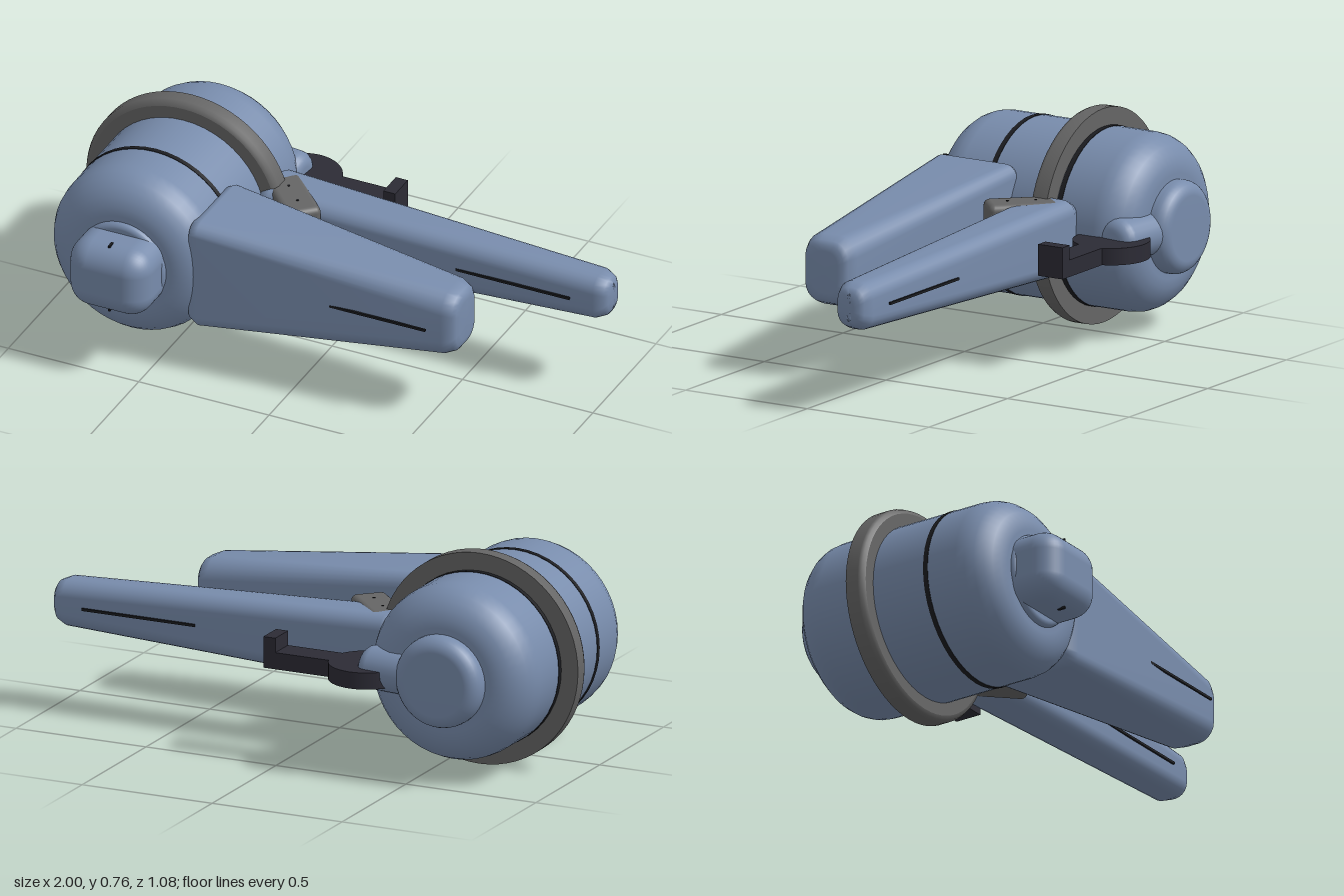
import * as THREE from 'three';
import { RoundedBoxGeometry } from 'three/addons/geometries/RoundedBoxGeometry.js';

const CX = -0.62, CY = 0.38;

// Lathe with its axis along z; profile is [radius, z] with z rising
function latheZ(profile, segments = 48) {
  const g = new THREE.LatheGeometry(profile.map(([r, z]) => new THREE.Vector2(r, z)), segments);
  return g.rotateX(Math.PI / 2);
}

// Drum profile with rounded rims at either end
function drum(r, z0, z1, r0, r1, steps = 6) {
  const pts = [[0.0001, z0]];
  for (let i = 0; i <= steps; i++) {
    const a = (i / steps) * Math.PI / 2;
    pts.push([r - r0 + r0 * Math.sin(a), z0 + r0 - r0 * Math.cos(a)]);
  }
  for (let i = 0; i <= steps; i++) {
    const a = (i / steps) * Math.PI / 2;
    pts.push([r - r1 + r1 * Math.cos(a), z1 - r1 + r1 * Math.sin(a)]);
  }
  pts.push([0.0001, z1]);
  return pts;
}

// Rounded-rectangle sections [x, halfHeight, halfDepth, cornerRadius] joined along x
function loft(sections, cy, cz, seg = 5) {
  const pos = [], index = [], n = 4 * (seg + 1);
  for (const [x, hy, hz, r] of sections) {
    for (let c = 0; c < 4; c++) {
      const sy = c === 0 || c === 3 ? 1 : -1, sz = c < 2 ? 1 : -1;
      for (let k = 0; k <= seg; k++) {
        const a = (c + k / seg) * Math.PI / 2;
        pos.push(x, cy + sy * (hy - r) + r * Math.cos(a), cz + sz * (hz - r) + r * Math.sin(a));
      }
    }
  }
  for (let i = 0; i < sections.length - 1; i++) {
    for (let j = 0; j < n; j++) {
      const a = i * n + j, b = i * n + (j + 1) % n;
      index.push(a, b, a + n, b, b + n, a + n);
    }
  }
  const last = (sections.length - 1) * n, c0 = pos.length / 3;
  pos.push(sections[0][0], cy, cz, sections[sections.length - 1][0], cy, cz);
  for (let j = 0; j < n; j++) {
    const k = (j + 1) % n;
    index.push(c0, k, j, c0 + 1, last + j, last + k);
  }
  const g = new THREE.BufferGeometry();
  g.setAttribute('position', new THREE.Float32BufferAttribute(pos, 3));
  g.setIndex(index);
  g.computeVertexNormals();
  return g;
}

// Tapered arm with softened root and tip; root and tip are [x, halfHeight, halfDepth, cornerRadius]
function arm(root, tip, cz) {
  const [x0, h0, d0, r0] = root, [x1, h1, d1, r1] = tip, f = 0.05;
  const inset = ([, h, d, r], x, t) => [x, h - t, d - t, Math.max(r - t * 0.5, 0.01)];
  return loft([
    inset(root, x0, f), inset(root, x0 + f * 0.3, f * 0.3), [x0 + f, h0, d0, r0],
    [x1 - f, h1, d1, r1], inset(tip, x1 - f * 0.3, f * 0.3), inset(tip, x1 - f * 0.08, f * 0.6), inset(tip, x1, f),
  ], CY, cz);
}

export function createModel() {
  const model = new THREE.Group();
  const material = (name, color) => Object.assign(new THREE.MeshStandardMaterial({ color }), { name });
  const blue = material('steel blue', 0x788cac);
  const grey = material('grey', 0x656565);
  const dark = material('dark', 0x2c2b35);
  const black = material('seam black', 0x1b1c20);

  function add(name, geometry, mat, x = 0, y = 0, z = 0) {
    const m = new THREE.Mesh(geometry, mat);
    m.name = name;
    m.position.set(x, y, z);
    model.add(m);
    return m;
  }
  const box = (w, h, d) => new THREE.BoxGeometry(w, h, d);

  // Drum body, end caps and ring
  add('body', latheZ(drum(0.315, -0.46, 0.375, 0.13, 0.13)), blue, CX, CY);
  add('backCap', latheZ(drum(0.165, -0.527, -0.4, 0.05, 0.01)), blue, CX, CY);
  add('frontCollar', latheZ(drum(0.165, 0.3, 0.395, 0.01, 0.02)), blue, CX, CY);
  add('ring', latheZ([[0.3, -0.17], [0.38, -0.17], [0.38, -0.17], [0.38, -0.12],
    [0.374, -0.106], [0.36, -0.1], [0.36, -0.1], [0.3, -0.1]], 64), grey, CX, CY);
  for (const z of [0.12, -0.181]) {
    add('seam', latheZ([[0.3, z - 0.009], [0.317, z - 0.009], [0.317, z - 0.009],
      [0.317, z + 0.009], [0.317, z + 0.009], [0.3, z + 0.009]]), black, CX, CY);
  }

  // Front knob with slots above and below
  add('knob', new RoundedBoxGeometry(0.31, 0.26, 0.25, 5, 0.085), blue, CX, CY, 0.412);
  for (const s of [-1, 1]) add('knobSlot', box(0.008, 0.008, 0.028), black, CX, CY + s * 0.129, 0.474);

  // Two tapered arms with side slits
  add('frontArm', arm([-0.4, 0.208, 0.172, 0.045], [0.605, 0.125, 0.103, 0.07], 0.185), blue);
  add('backArm', arm([-0.335, 0.13, 0.1, 0.05], [1, 0.085, 0.07, 0.055], -0.17), blue);
  for (const z of [0.047, 0.316]) add('frontArmSlit', box(0.435, 0.009, 0.007), black, 0.293, CY, z);
  for (const z of [-0.255, -0.088]) add('backArmSlit', box(0.435, 0.009, 0.007), black, 0.65, CY, z);

  // Angled bracket between the arms
  const bracket = add('bracket', new RoundedBoxGeometry(0.25, 0.26, 0.13, 3, 0.022), grey, -0.2, CY, -0.105);
  bracket.rotation.y = -0.81;
  for (const x of [-0.05, 0.05]) {
    const dot = new THREE.Mesh(new THREE.CylinderGeometry(0.005, 0.005, 0.004, 8), black);
    dot.name = 'bracketDot';
    dot.position.set(x, 0.13, 0);
    bracket.add(dot);
  }

  // Rear stub carrying the dark lever
  const stub = add('stub', latheZ(drum(0.078, -0.15, 0.1, 0.02, 0.045), 24), blue, -0.4, CY, -0.425);
  stub.rotation.y = Math.PI / 2 - 0.12;
  add('leverDisc', new THREE.CylinderGeometry(0.135, 0.135, 0.06, 40), dark, -0.305, 0.36, -0.407);
  add('leverBar', box(0.3, 0.06, 0.1), dark, -0.12, 0.36, -0.4);
  add('leverTip', box(0.046, 0.112, 0.1), dark, 0.05, 0.386, -0.4);

  return model;
}
